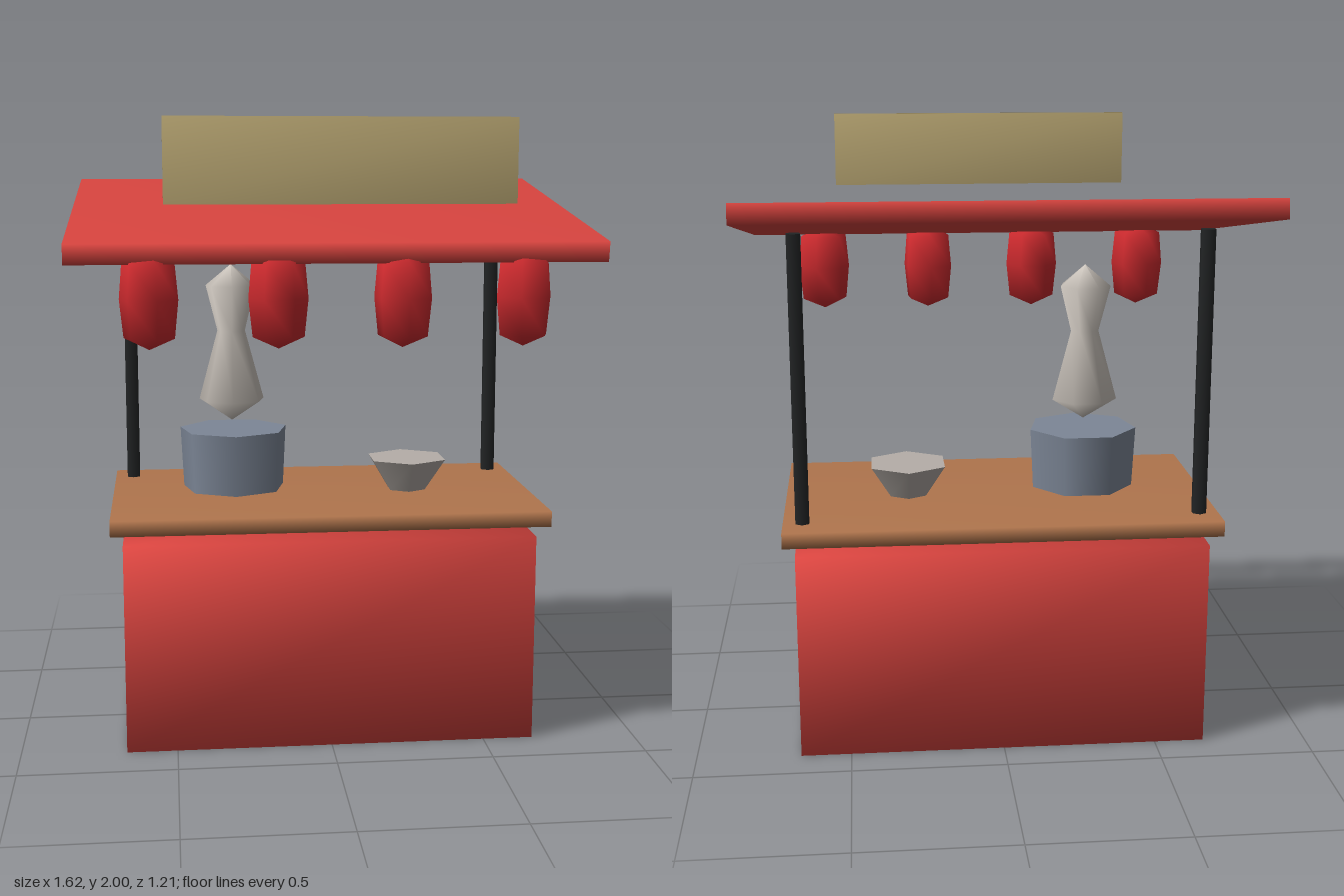
import * as THREE from 'three';
import { mergeVertices } from 'three/addons/utils/BufferGeometryUtils.js';

const mat = (name, color) => {
  const m = new THREE.MeshStandardMaterial({ color });
  m.name = name;
  return m;
};

// Box with shared corners, so its shading runs softly across the edges
function softBox(w, h, d) {
  const g = new THREE.BoxGeometry(w, h, d);
  g.deleteAttribute('normal');
  g.deleteAttribute('uv');
  const merged = mergeVertices(g);
  merged.computeVertexNormals();
  return merged;
}

// Low-sided turned shape from [radius, height] pairs, listed bottom to top
const turned = (points, sides) =>
  new THREE.LatheGeometry(points.map(([r, y]) => new THREE.Vector2(r, y)), sides);

export function createModel() {
  const stall = new THREE.Group();
  stall.name = 'foodStall';

  const red = mat('paintedRed', 0xd8443f);
  const lanternRed = mat('lanternRed', 0xcc2a2e);
  const wood = mat('wood', 0xb0754d);
  const black = mat('blackMetal', 0x222425);
  const steel = mat('blueSteel', 0x7d8797);
  const meatColor = mat('paleMeat', 0xcdc6be);
  const bowlColor = mat('greyCeramic', 0xb5aea8);
  const gold = mat('paleGold', 0xcab67e);

  const add = (name, geometry, material, x, y, z) => {
    const mesh = new THREE.Mesh(geometry, material);
    mesh.name = name;
    mesh.position.set(x, y, z);
    stall.add(mesh);
    return mesh;
  };

  // Counter and worktop
  add('counter', softBox(1.325, 0.68, 0.725), red, 0, 0.34, -0.018);
  add('worktop', softBox(1.4, 0.05, 0.805), wood, 0, 0.747, -0.015);

  // Sloping roof, lower at the front
  add('roof', softBox(1.62, 0.062, 1.17), red, 0, 1.694, -0.017).rotation.x = 0.15;

  // Rear posts
  for (const side of [-1, 1]) {
    const post = new THREE.CylinderGeometry(0.025, 0.025, 0.97, 6);
    add(side > 0 ? 'leftPost' : 'rightPost', post, black, side * 0.638, 1.205, -0.312);
  }

  // Sign board above the front edge
  add('signBoard', softBox(1.035, 0.25, 0.022), gold, 0, 1.875, 0.59).rotation.y = 0.008;

  // Hanging lanterns
  const lantern = turned(
    [[0, -0.13], [0.078, -0.095], [0.09, 0.02], [0.08, 0.13], [0, 0.16]], 6);
  [-0.565, -0.18, 0.195, 0.565].forEach((x, i) => {
    add('lantern' + (i + 1), lantern, lanternRed, x, 1.45, 0.503).rotation.y = [0.3, 0.5, 0.1, 0.75][i];
  });

  // Meat on the spit
  add('spitMeat', turned(
    [[0, 1.02], [0.11, 1.09], [0.047, 1.32], [0.085, 1.47], [0, 1.54]], 7),
    meatColor, -0.3, 0, -0.01);

  // Cooking pot and bowl
  add('pot', new THREE.CylinderGeometry(0.182, 0.172, 0.2, 7), steel, -0.295, 0.892, -0.01);
  add('bowl', new THREE.CylinderGeometry(0.14, 0.068, 0.108, 6), bowlColor, 0.293, 0.826, -0.017);

  return stall;
}
